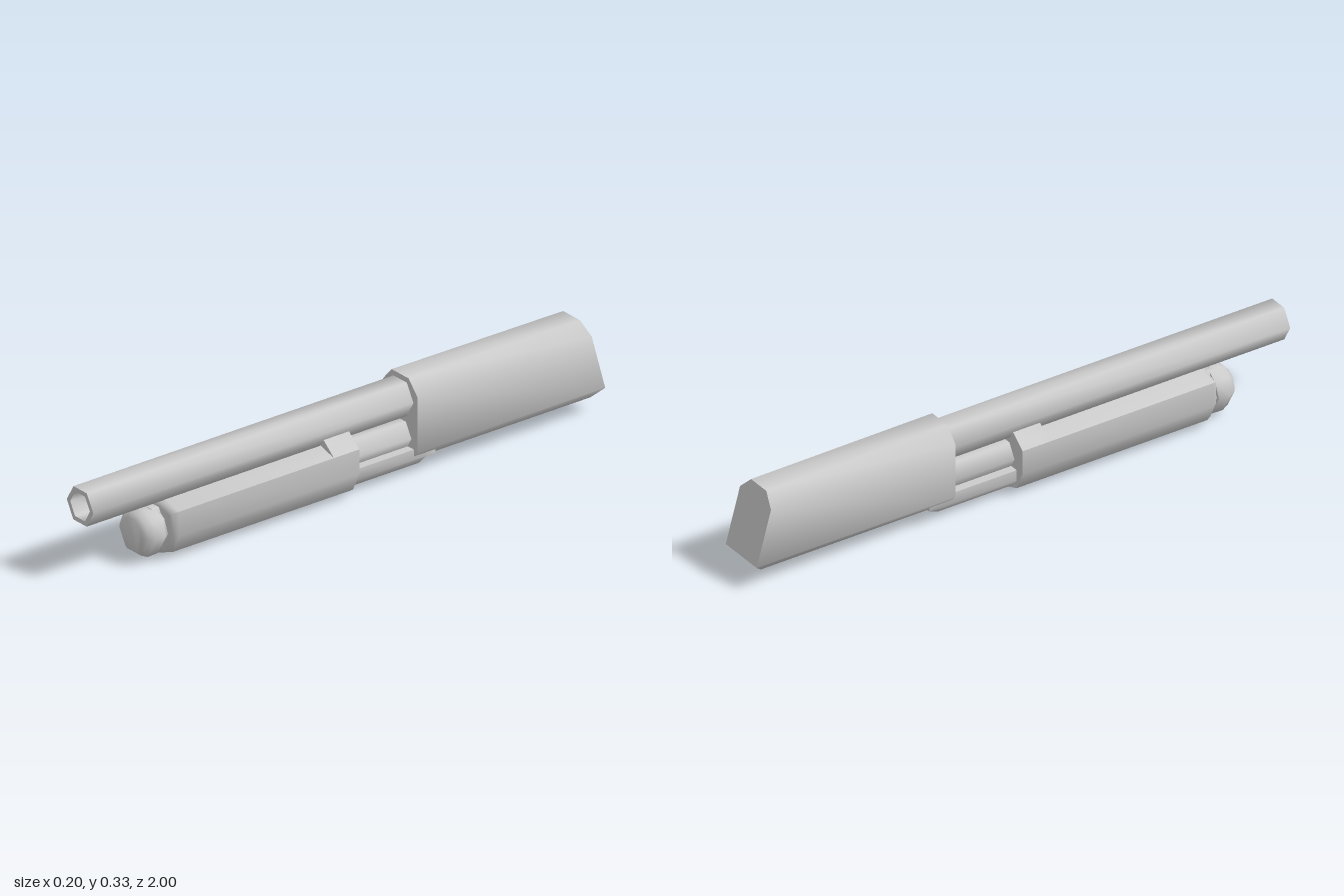
import * as THREE from 'three';
import { toCreasedNormals } from 'three/addons/utils/BufferGeometryUtils.js';

const material = new THREE.MeshStandardMaterial({ color: 0xcccccc });

// Full loop, counter-clockwise from the front, out of its +x half listed bottom to top
function mirrored(half) {
  const other = half.filter(p => p[0] > 0).reverse().map(([x, ...rest]) => [-x, ...rest]);
  return [...half, ...other];
}

// Place a 2D loop at z, optionally scaled about height cy
const at = (loop, z, s = 1, cy = 0) => loop.map(([x, y]) => [x * s, cy + (y - cy) * s, z]);

// Skin a row of 3D loops, back to front, and close both ends
function loft(name, sections) {
  const pos = [];
  const v = p => new THREE.Vector3(...p);
  const tri = (a, b, c) => {
    const area = v(b).sub(v(a)).cross(v(c).sub(v(a))).length();
    if (area > 1e-8) pos.push(...a, ...b, ...c);
  };
  const n = sections[0].length;
  for (let s = 0; s < sections.length - 1; s++) {
    const A = sections[s], B = sections[s + 1];
    for (let j = 0; j < n; j++) {
      const k = (j + 1) % n;
      tri(A[j], A[k], B[k]);
      tri(A[j], B[k], B[j]);
    }
  }
  const back = sections[0], front = sections[sections.length - 1];
  for (let j = 1; j < n - 1; j++) {
    tri(back[0], back[j + 1], back[j]);
    tri(front[0], front[j], front[j + 1]);
  }
  const geometry = new THREE.BufferGeometry();
  geometry.setAttribute('position', new THREE.Float32BufferAttribute(pos, 3));
  const mesh = new THREE.Mesh(toCreasedNormals(geometry, THREE.MathUtils.degToRad(62)), material);
  mesh.name = name;
  return mesh;
}

// Hexagon with flat top and bottom
const hexagon = (cy, r) => mirrored([[r / 2, cy - r * 0.866], [r, cy], [r / 2, cy + r * 0.866]]);

export function createModel() {
  const model = new THREE.Group();
  model.name = 'model';

  // Hollow six-sided barrel
  const outer = hexagon(0.254, 0.066), bore = hexagon(0.254, 0.049);
  model.add(loft('barrel', [at(outer, -0.3), at(outer, 1), at(bore, 1), at(bore, 0.9)]));

  // Receiver with sloping rear face and chamfered underside
  const body = (bottom, zBottom, top, zAt) => mirrored([
    [0.055, bottom, zBottom], [0.085, 0.09, zAt(0.09)],
    [0.085, 0.282, zAt(0.282)], [0.042, top, zAt(top)],
  ]);
  const slope = y => -1 + (y - 0.09) * 0.277;
  model.add(loft('receiver', [
    body(0.09, -1, 0.325, slope),
    body(0.057, -0.965, 0.325, slope),
    body(0.057, -0.26, 0.329, () => -0.26),
  ]));

  // Loading tray under the receiver
  const tray = (bottom, z) => at(mirrored([[0.045, bottom], [0.068, 0.058], [0.068, 0.095]]), z);
  model.add(loft('loadingTray', [tray(0.056, -0.345), tray(0.03, -0.3), tray(0.03, -0.01)]));

  // Magazine tube running from the receiver to the cap
  const tube = hexagon(0.127, 0.056);
  model.add(loft('magazineTube', [at(tube, -0.3), at(tube, 0.74)]));

  // Sliding fore-end with a keeled underside and rounded front
  const grip = mirrored([[0, 0.003], [0.068, 0.03], [0.1, 0.095], [0.1, 0.18], [0.035, 0.198]]);
  model.add(loft('foreEnd', [
    at(grip, -0.02), at(grip, 0.69), at(grip, 0.705, 0.92, 0.105), at(grip, 0.712, 0.8, 0.105),
  ]));

  // Raised ears at the rear of the fore-end, either side of the barrel
  const ears = mirrored([[0.1, 0.18], [0.05, 0.222]]);
  model.add(loft('foreEndEars', [at(ears, -0.02), at(ears, 0.08)]));

  // Magazine cap with a narrow neck
  const cap = mirrored([[0.04, 0.025], [0.083, 0.1], [0.062, 0.152], [0.029, 0.175]]);
  model.add(loft('magazineCap', [
    at(cap, 0.69, 0.88, 0.103), at(cap, 0.722, 0.88, 0.103), at(cap, 0.724, 0.98, 0.103),
    at(cap, 0.765, 1, 0.103), at(cap, 0.787, 0.88, 0.103), at(cap, 0.8, 0.68, 0.103),
  ]));

  return model;
}
